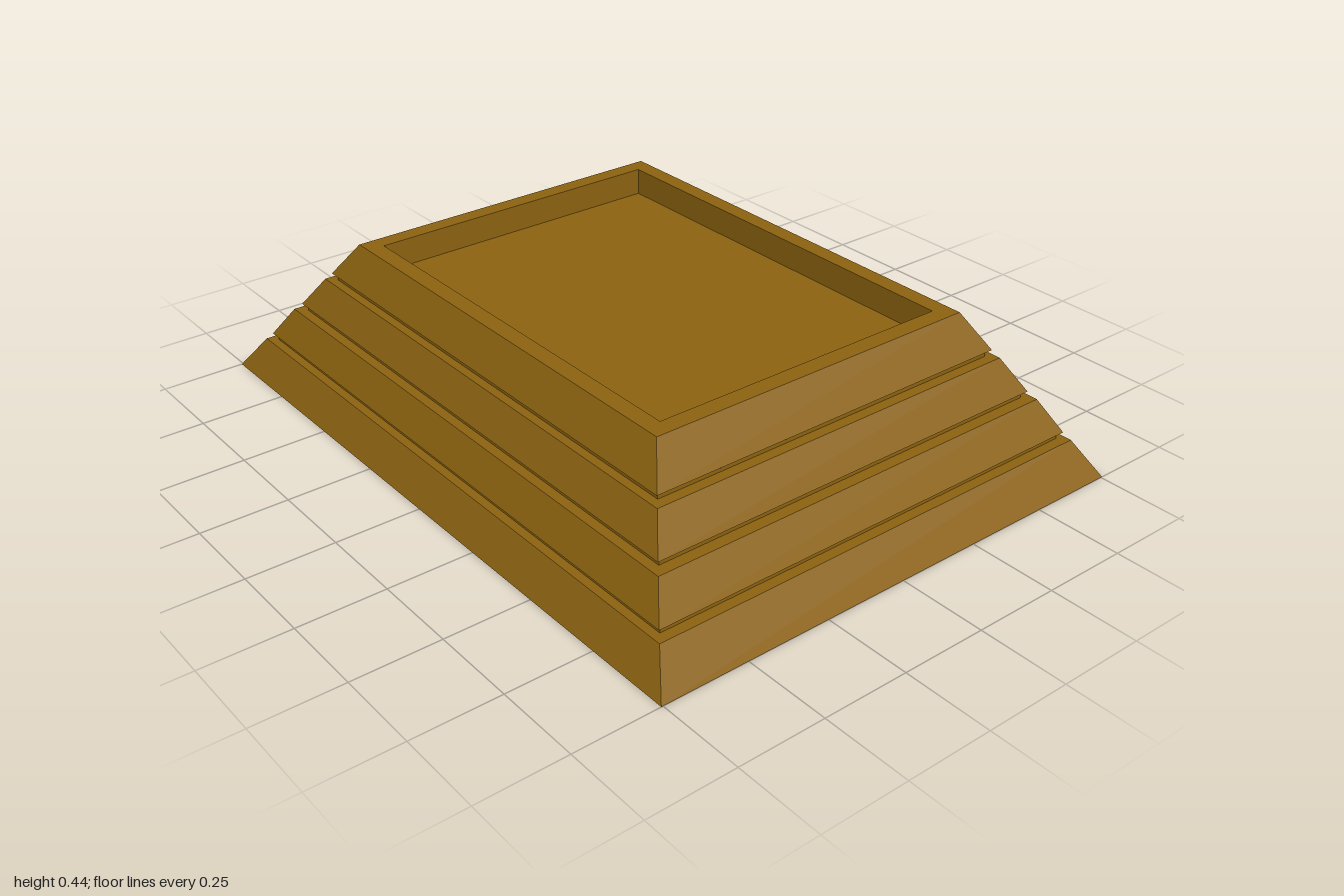
import * as THREE from 'three';

// Corners of a rectangular section, anticlockwise seen from above.
const corners = ([hx, hz, y]) => [[hx, y, hz], [hx, y, -hz], [-hx, y, -hz], [-hx, y, hz]];

// Skin a stack of rectangular sections [halfX, halfZ, y], with optional end caps.
function loft(name, sections, material, { bottom = false, top = false } = {}) {
  const positions = [];
  const quad = (a, b, c, d) => positions.push(...a, ...b, ...c, ...a, ...c, ...d);
  const rings = sections.map(corners);
  for (let r = 0; r < rings.length - 1; r++) {
    for (let i = 0; i < 4; i++) {
      const j = (i + 1) % 4;
      quad(rings[r][i], rings[r][j], rings[r + 1][j], rings[r + 1][i]);
    }
  }
  if (bottom) quad(...[...rings[0]].reverse());
  if (top) quad(...rings[rings.length - 1]);

  const geometry = new THREE.BufferGeometry();
  geometry.setAttribute('position', new THREE.Float32BufferAttribute(positions, 3));
  geometry.computeVertexNormals();
  const mesh = new THREE.Mesh(geometry, material);
  mesh.name = name;
  return mesh;
}

export function createModel() {
  const group = new THREE.Group();
  group.name = 'steppedPlinth';
  const material = new THREE.MeshStandardMaterial({ color: 0x8b6210, flatShading: true });

  // Sloping tiers: lower and upper section of each
  const tiers = [
    { name: 'baseTier', low: [0.755, 1.0, 0], high: [0.7, 0.925, 0.1] },
    { name: 'lowerTier', low: [0.687, 0.907, 0.12], high: [0.64, 0.845, 0.21] },
    { name: 'upperTier', low: [0.624, 0.824, 0.23], high: [0.575, 0.76, 0.32] },
    { name: 'topTier', low: [0.562, 0.742, 0.34], high: [0.505, 0.67, 0.44] },
  ];

  tiers.forEach(({ name, low, high }, i) => {
    group.add(loft(name, [low, high], material, { bottom: i === 0 }));
    const next = tiers[i + 1];
    if (!next) return;
    // Groove: ledge inward, short wall, then bevel out to the next tier
    const [hx, hz, y] = next.low;
    const inX = hx - 0.012, inZ = hz - 0.012;
    group.add(loft(`groove${i + 1}`, [high, [inX, inZ, high[2]], [inX, inZ, y - 0.01], [hx, hz, y]], material));
  });

  // Rim, recess walls and recess floor
  group.add(loft('recessedTop', [[0.505, 0.67, 0.44], [0.455, 0.62, 0.44], [0.455, 0.62, 0.36]], material, { top: true }));

  return group;
}
